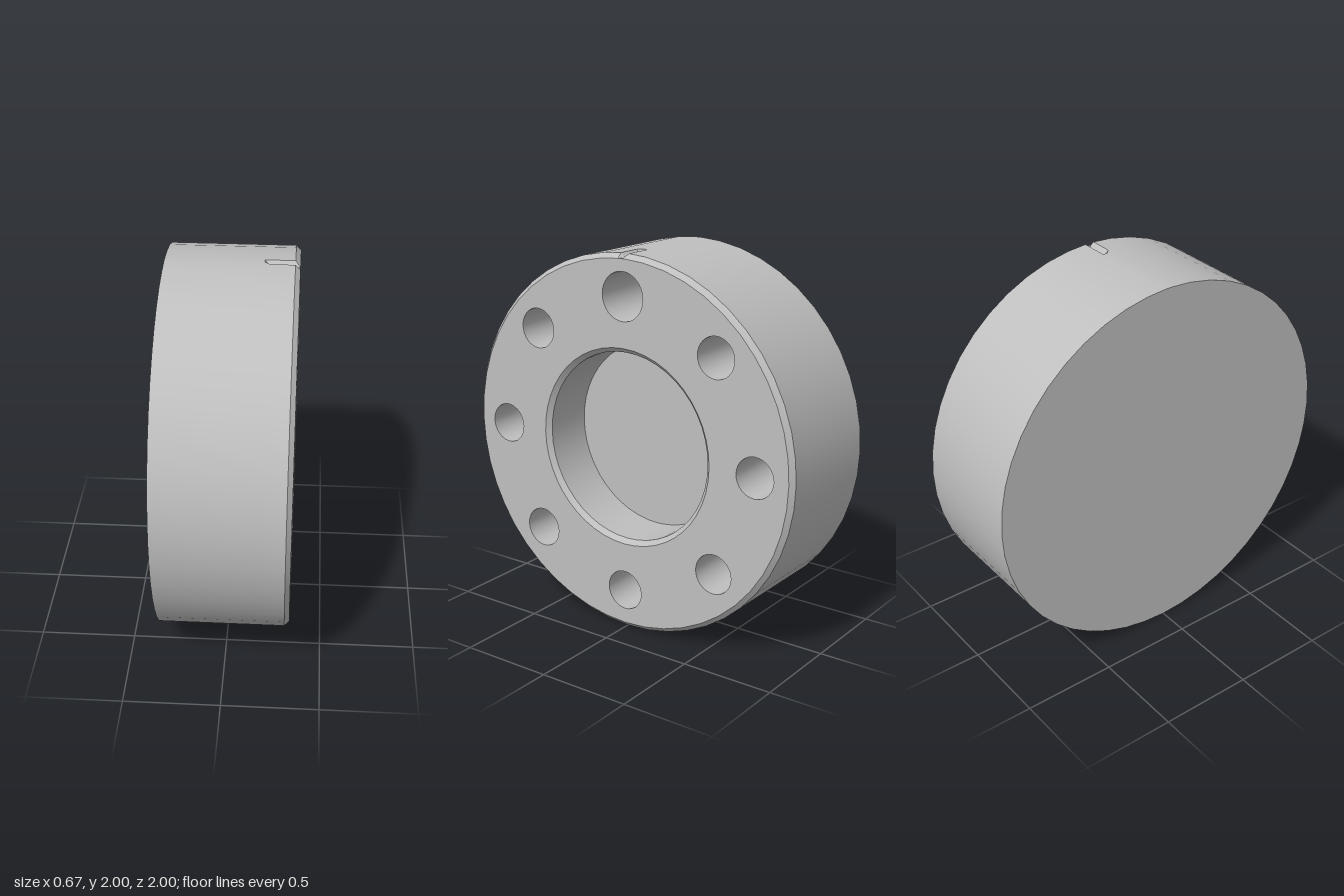
import * as THREE from 'three';
import { toCreasedNormals } from 'three/addons/utils/BufferGeometryUtils.js';

const HALF = 0.335;      // half the thickness
const BEVEL = 0.025;     // edge chamfers and notch depth
const BOLT_RADIUS = 0.787;

export function createModel() {
  const metal = new THREE.MeshStandardMaterial({ color: 0xbfbfbf });
  metal.name = 'grey metal';
  const model = new THREE.Group();
  model.name = 'flangedDisc';
  const disc = new THREE.Group();   // built along z, then turned to face +x
  disc.name = 'disc';
  const add = (name, geometry) => {
    const mesh = new THREE.Mesh(geometry, metal);
    mesh.name = name;
    disc.add(mesh);
    return mesh;
  };

  // Angles around the rim, with two extra ones for the notch edges
  const angles = [-BEVEL, 0, BEVEL];
  const SEG = 48;
  for (let i = 1; i < SEG; i++) angles.push((i / SEG) * Math.PI * 2);
  const outline = (r) => angles.map((a) => new THREE.Vector2(r * Math.sin(a), r * Math.cos(a)));
  const circle = (r, cx, cy, n) => Array.from({ length: n }, (_, i) => {
    const a = (i / n) * Math.PI * 2;
    return new THREE.Vector2(cx + r * Math.sin(a), cy + r * Math.cos(a));
  });

  // Rim with chamfered front edge and a V notch at the top: [z, radius, radius at notch]
  const stations = [
    [-HALF, 1, 1], [0.16, 1, 1], [0.185, 1, 1 - BEVEL],
    [HALF - BEVEL, 1, 1 - BEVEL], [HALF, 1 - BEVEL, 1 - BEVEL],
  ];
  const positions = [], index = [], n = angles.length;
  for (const [z, r, notch] of stations) {
    for (const a of angles) {
      const radius = a === 0 ? notch : r;
      positions.push(radius * Math.sin(a), radius * Math.cos(a), z);
    }
  }
  for (let s = 0; s < stations.length - 1; s++) {
    for (let i = 0; i < n; i++) {
      const a = s * n + i, b = s * n + (i + 1) % n;
      index.push(a, a + n, b, b, a + n, b + n);
    }
  }
  const rim = new THREE.BufferGeometry();
  rim.setAttribute('position', new THREE.Float32BufferAttribute(positions, 3));
  rim.setIndex(index);
  add('rim', toCreasedNormals(rim, 0.45));

  // Closed back
  add('backFace', new THREE.ShapeGeometry(new THREE.Shape(outline(1))).rotateY(Math.PI))
    .position.z = -HALF;

  // Front face, pierced by the bore and the ring of holes
  const face = new THREE.Shape(outline(1 - BEVEL));
  const recess = (name, profile, cx, cy, segments) => {
    face.holes.push(new THREE.Path(circle(profile[0][0], cx, cy, segments)));
    const points = profile.map(([r, z]) => new THREE.Vector2(r, z));
    const lathe = new THREE.LatheGeometry(points, segments).rotateX(Math.PI / 2);
    add(name, toCreasedNormals(lathe, 0.45)).position.set(cx, cy, HALF);
  };

  // Central bore with chamfered mouth and flat floor
  recess('centralBore', [[0.525, 0], [0.5, -BEVEL], [0.5, -0.295], [0, -0.295]], 0, 0, SEG);

  // Eight holes: the top one is larger and ends in a drill point
  for (let i = 0; i < 8; i++) {
    const a = (i / 8) * Math.PI * 2;
    const profile = i === 0
      ? [[0.126, 0], [0.126, -0.35], [0, -0.425]]
      : [[0.106, 0], [0.106, -0.35], [0, -0.35]];
    recess(i === 0 ? 'drilledHole' : 'boltHole', profile,
      BOLT_RADIUS * Math.sin(a), BOLT_RADIUS * Math.cos(a), 32);
  }
  add('frontFace', new THREE.ShapeGeometry(face)).position.z = HALF;

  disc.rotation.y = Math.PI / 2;
  disc.position.y = 1;
  model.add(disc);
  return model;
}
